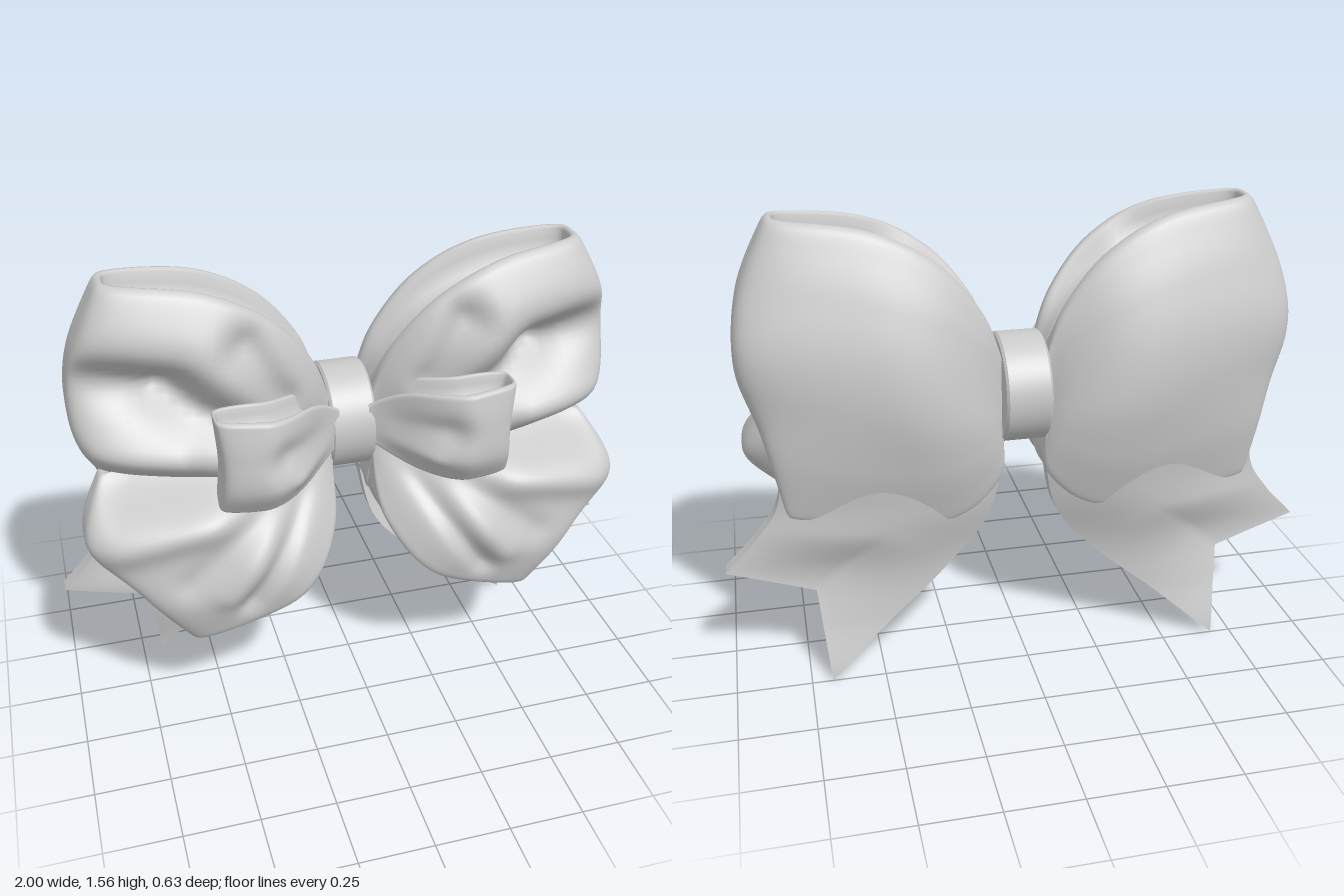
import * as THREE from 'three';
import { toCreasedNormals } from 'three/addons/utils/BufferGeometryUtils.js';

const V = (p) => new THREE.Vector2(p[0], p[1]);
const spline = (pts) => { const c = new THREE.SplineCurve(pts.map(V)); return (t) => c.getPoint(t); };
const polyline = (pts) => (t) => {
  const f = Math.min(t, 0.99999) * (pts.length - 1), i = Math.floor(f);
  return V(pts[i]).lerp(V(pts[i + 1]), f - i);
};
const values = (list) => { const f = spline(list.map((y, i) => [i, y])); return (t) => f(t).y; };
const smooth = THREE.MathUtils.smoothstep, mix = THREE.MathUtils.lerp;

// Patch filled between four edge curves; s runs from the knot outward, v from bottom to top
function patch(bottom, top, inner, outer) {
  const c = [bottom(0), bottom(1), top(0), top(1)];
  return (s, v) => {
    const b = bottom(s), t = top(s), i = inner(v), o = outer(v);
    const f = (k) => mix(b[k], t[k], v) + mix(i[k], o[k], s)
      - mix(mix(c[0][k], c[1][k], s), mix(c[2][k], c[3][k], s), v);
    return [f('x'), f('y')];
  };
}

// Skin over a grid of points given in rows
function skin(rows, closed) {
  const n = rows[0].length, pos = rows.flat(2), idx = [];
  for (let j = 0; j < rows.length - 1; j++) {
    for (let i = 0; i < (closed ? n : n - 1); i++) {
      const a = j * n + i, b = j * n + (i + 1) % n;
      idx.push(a, b, b + n, a, b + n, a + n);
    }
  }
  const g = new THREE.BufferGeometry();
  g.setAttribute('position', new THREE.Float32BufferAttribute(pos, 3));
  g.setIndex(idx);
  g.computeVertexNormals();
  return g;
}

// Soft crease or ridge along a segment: [x1, y1, x2, y2, radius, depth]
function foldAt(x, y, folds) {
  let sum = 0;
  for (const [ax, ay, bx, by, r, d] of folds) {
    const dx = bx - ax, dy = by - ay;
    const t = THREE.MathUtils.clamp(((x - ax) * dx + (y - ay) * dy) / (dx * dx + dy * dy), 0, 1);
    const q = ((x - ax - dx * t) ** 2 + (y - ay - dy * t) ** 2) / (r * r);
    sum += d * Math.exp(-q);
  }
  return sum;
}

// Ribbon loop: out along the back, round the outer fold and back along the front, with rolled rims
function ribbonLoop({ bottom, top, outer, front, back, knotZ, pinch, power, folds, depth }) {
  const at = patch(spline(bottom), spline(top), polyline([bottom[0], top[0]]), spline(outer));
  const zf = values(front), zb = values(back);
  const rim = (d) => [[d, 0.02], [d * 0.95, 0.25], [d * 0.75, 0.45], [d * 0.4, 0.6], [d * 0.12, 0.7],
    [0.003, 0.77], [0, 0.84], [0.006, 0.93], [0.025, 0.985], [0.05, 1]];
  const list = rim(depth[0]);
  for (let j = 1; j < 40; j++) list.push([0.05 + 0.9 * j / 40, 1]);
  list.push(...rim(depth[1]).map(([v, k]) => [1 - v, k]).reverse());
  const rows = list.map(([v, k]) => {
    const row = [], N = 80;
    for (let i = 0; i <= N; i++) {
      const a = Math.PI * i / N, c = Math.cos(a);
      const s = Math.sin(a) * (1 - (1 - k) * 0.12);
      const [x, y] = at(s, v);
      const w = smooth(s, 0, pinch);
      const f = mix(knotZ[1], zf(v), w), b = mix(knotZ[0], zb(v), w);
      let z = (f + b) / 2 - (f - b) / 2 * k * Math.sign(c) * Math.abs(c) ** power;
      if (c < 0) z += foldAt(x, y, folds) * Math.min(1, -c * 2) * k * w;
      row.push([x, y, z]);
    }
    return row;
  });
  return skin(rows, false);
}

// Forked ribbon tail with thickness
function tailGeometry() {
  const at = patch(
    polyline([[0.68, 0], [0.71, 0.31], [1, 0.4]]),
    polyline([[0.07, 0.86], [0.8, 0.92]]),
    spline([[0.68, 0], [0.47, 0.18], [0.27, 0.34], [0.13, 0.5], [0.08, 0.68], [0.07, 0.86]]),
    spline([[1, 0.4], [0.89, 0.52], [0.81, 0.66], [0.8, 0.92]]));
  const zAt = values([-0.22, -0.165, -0.12, -0.135, -0.16, -0.17]);
  const rows = [], N = 28, M = 32;
  for (let j = -1; j <= M; j++) {
    const v = Math.max(j, 0) / M, row = [];
    for (let i = 0; i < 2 * N + 2; i++) {
      const isFront = i <= N, u = (isFront ? i : 2 * N + 1 - i) / N;
      const [x, y] = at(u, v);
      const half = j < 0 ? 0 : 0.028;
      const z = zAt(Math.min(1, Math.max(0, y))) - 0.075 * Math.sin(Math.PI * u) * smooth(v, 0, 0.45);
      row.push([x, y, z + (isFront ? half : -half)]);
    }
    rows.push(row);
  }
  return toCreasedNormals(skin(rows, true), 0.8);
}

export function createModel() {
  const satin = new THREE.MeshStandardMaterial({ color: 0xcacaca, side: THREE.DoubleSide });
  satin.name = 'ribbon grey';
  const model = new THREE.Group();
  model.name = 'ribbonBow';

  const parts = {
    // Large loop, its back running down into the tail
    upperLoop: ribbonLoop({
      bottom: [[0.07, 0.82], [0.09, 0.66], [0.3, 0.54], [0.785, 0.6]],
      top: [[0.07, 1.08], [0.13, 1.24], [0.27, 1.41], [0.48, 1.52], [0.78, 1.56]],
      outer: [[0.785, 0.6], [0.845, 0.88], [0.91, 1.1], [0.885, 1.33], [0.78, 1.56]],
      front: [-0.13, 0.0, 0.21, 0.18, 0.22, 0.12],
      back: [-0.215, -0.295, -0.345, -0.335, -0.285, -0.19],
      knotZ: [-0.18, 0.03], pinch: 0.7, power: 0.52, depth: [0.03, 0.14],
      folds: [
        [0.88, 1.28, 0.62, 1.22, 0.09, -0.1], [0.36, 1.34, 0.24, 1.16, 0.065, -0.07],
        [0.62, 1.2, 0.42, 1.08, 0.07, -0.06], [0.84, 1.02, 0.6, 1.0, 0.06, 0.03],
      ],
    }),
    // Puffed loop hanging in front
    lowerLoop: ribbonLoop({
      bottom: [[0.07, 0.86], [0.09, 0.66], [0.25, 0.47], [0.6, 0.335]],
      top: [[0.07, 0.95], [0.3, 0.96], [0.55, 0.95], [0.84, 0.92]],
      outer: [[0.6, 0.335], [0.76, 0.55], [0.912, 0.74], [0.84, 0.92]],
      front: [0.3, 0.335, 0.3, 0.28, 0.1],
      back: [0.03, 0.01, -0.03, -0.09, -0.08],
      knotZ: [-0.1, 0.06], pinch: 0.7, power: 0.5, depth: [0.03, 0.04],
      folds: [
        [0.2, 0.8, 0.41, 0.5, 0.035, -0.035], [0.3, 0.8, 0.48, 0.55, 0.05, 0.02],
        [0.8, 0.89, 0.45, 0.9, 0.06, -0.06], [0.82, 0.74, 0.5, 0.82, 0.06, 0.02],
        [0.25, 0.88, 0.6, 0.6, 0.05, -0.02],
      ],
    }),
    // Small loop beside the knot
    smallLoop: ribbonLoop({
      bottom: [[0.05, 0.93], [0.17, 0.865], [0.33, 0.835], [0.49, 0.84]],
      top: [[0.05, 1.06], [0.17, 1.14], [0.33, 1.17], [0.49, 1.18]],
      outer: [[0.49, 0.84], [0.475, 1.0], [0.49, 1.18]],
      front: [0.27, 0.335, 0.335, 0.31],
      back: [0.11, 0.09, 0.09, 0.13],
      knotZ: [-0.02, 0.075], pinch: 0.7, power: 0.45, depth: [0.25, 0.25],
      folds: [[0.13, 1.02, 0.26, 1.03, 0.06, -0.05], [0.1, 0.95, 0.22, 0.93, 0.03, 0.02]],
    }),
    tail: tailGeometry(),
  };

  // Mirrored halves
  for (const [side, sign] of [['left', 1], ['right', -1]]) {
    const half = new THREE.Group();
    half.name = side + 'Half';
    half.scale.x = sign;
    for (const [name, geometry] of Object.entries(parts)) {
      const mesh = new THREE.Mesh(geometry, satin);
      mesh.name = name;
      half.add(mesh);
    }
    model.add(half);
  }

  // Band round the middle
  const r = 0.182, w = 0.076;
  const band = new THREE.LatheGeometry(
    [[0.02, -w], [r - 0.008, -w], [r, -w + 0.008], [r, w - 0.008], [r - 0.008, w], [0.02, w]].map(V), 64);
  const knot = new THREE.Mesh(toCreasedNormals(band, 0.6), satin);
  knot.name = 'knotBand';
  knot.rotation.z = Math.PI / 2;
  knot.position.set(0, 0.963, -0.09);
  model.add(knot);
  return model;
}
